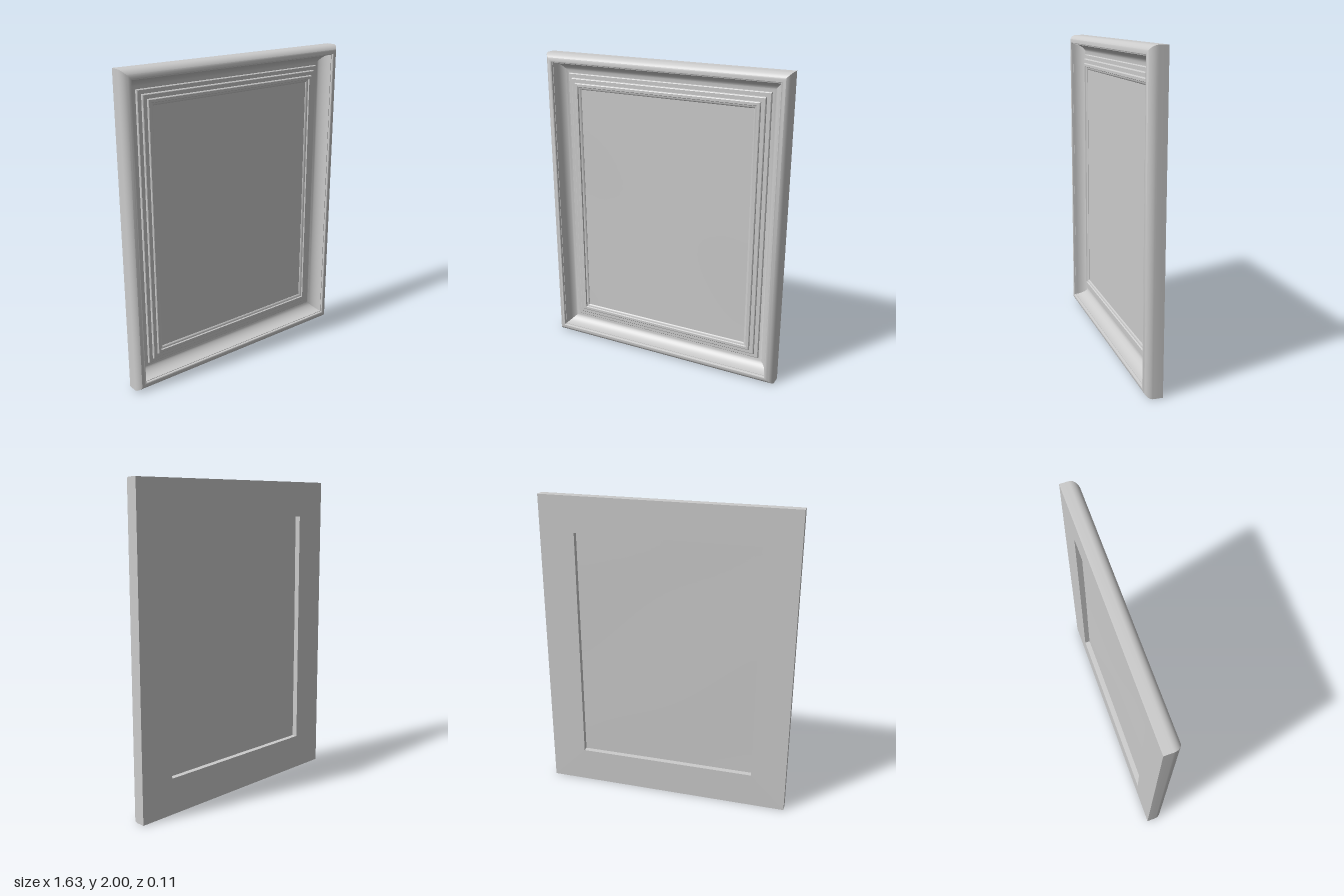
import * as THREE from 'three';
import { toCreasedNormals } from 'three/addons/utils/BufferGeometryUtils.js';

const HALF_W = 0.815, HALF_H = 1, BACK = -0.055, INNER = 0.228;

// Sweeps a closed section of [inset, z] points around the rectangle with mitred corners.
function mitredRing(section) {
  const corners = [[-1, -1], [1, -1], [1, 1], [-1, 1]];
  const n = section.length, pos = [], index = [];
  for (const [sx, sy] of corners) {
    for (const [inset, z] of section) {
      pos.push(sx * (HALF_W - inset), HALF_H + sy * (HALF_H - inset), z);
    }
  }
  for (let c = 0; c < 4; c++) {
    const a = c * n, b = ((c + 1) % 4) * n;
    for (let i = 0; i < n; i++) {
      const j = (i + 1) % n;
      index.push(a + i, b + i, b + j, a + i, b + j, a + j);
    }
  }
  const geo = new THREE.BufferGeometry();
  geo.setAttribute('position', new THREE.Float32BufferAttribute(pos, 3));
  geo.setIndex(index);
  return toCreasedNormals(geo, 0.6);
}

// Elliptical arc in section space, angles in quarter turns.
function arc(cx, cz, rx, rz, from, to, steps = 10) {
  return Array.from({ length: steps + 1 }, (_, i) => {
    const t = (from + (to - from) * i / steps) * Math.PI / 2;
    return [cx + rx * Math.cos(t), cz + rz * Math.sin(t)];
  });
}

export function createModel() {
  const group = new THREE.Group();
  const material = new THREE.MeshStandardMaterial({ color: 0xcccccc });

  // Frame moulding: rounded outer rail, hollow cove, rising steps, inner lip
  const section = [
    [0, BACK],
    ...arc(0.05, 0, 0.05, 0.055, 2, 1),
    [0.055, 0.052], [0.057, 0.04],
    ...arc(0.13, 0.04, 0.07, 0.082, 2, 3),
    [0.13, -0.03], [0.134, -0.026], [0.157, -0.026],
    [0.159, -0.016], [0.163, -0.013], [0.186, -0.013],
    [0.188, -0.005], [0.192, -0.002], [0.208, -0.002],
    [0.212, -0.01], [0.222, -0.012], [INNER, -0.018],
    [INNER, BACK],
  ];
  const frame = new THREE.Mesh(mitredRing(section), material);
  frame.name = 'frame';
  group.add(frame);

  // Slightly uneven panel held inside the frame
  const panelGeo = new THREE.PlaneGeometry(2 * (HALF_W - INNER), 2 * (HALF_H - INNER), 24, 30);
  const p = panelGeo.attributes.position;
  for (let i = 0; i < p.count; i++) {
    const x = p.getX(i), y = p.getY(i);
    p.setZ(i, 0.0015 * Math.sin(4 * x + 2 * y) * Math.cos(3 * y - x));
  }
  panelGeo.computeVertexNormals();
  const panelMaterial = material.clone();
  panelMaterial.side = THREE.DoubleSide;
  const panel = new THREE.Mesh(panelGeo, panelMaterial);
  panel.name = 'panel';
  panel.position.set(0, HALF_H, -0.02);
  group.add(panel);

  return group;
}
